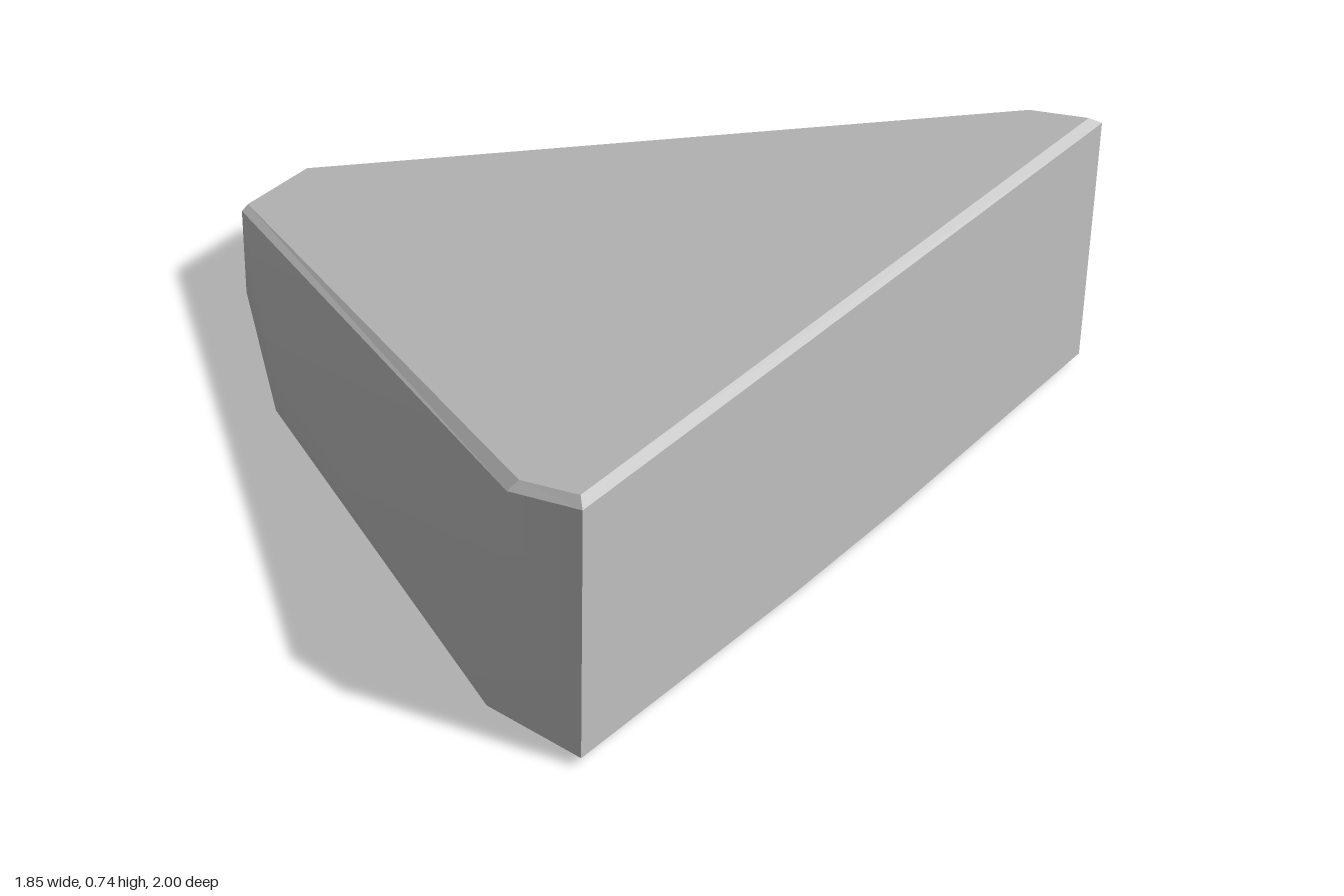
import * as THREE from 'three';

// Corner points of the +z half: T top face, A upper wall edge, M wall kink, B lower wall edge, C underside strip
const P = {
  T0: [-0.925, 0.265, 0.112], T1: [0.73, 0.691, 0.977], T2: [0.9, 0.735, 0.977],
  A0: [-0.925, 0.255, 0.135], A1: [0.715, 0.667, 1], A2: [0.925, 0.72, 1],
  M: [-0.485, 0.14, 0.487],
  B0: [-0.925, 0, 0.135], B1: [-0.485, 0.022, 0.487], B2: [0.65, 0.027, 1], B3: [0.925, 0.027, 1],
  C1: [0.925, 0, 0.2],
};

// A trailing "-" means the mirrored point on the -z half
function point(name) {
  const [x, y, z] = P[name.replace('-', '')];
  return name.endsWith('-') ? [x, y, -z] : [x, y, z];
}

// Mirrored polygon, with its corner order reversed to keep it facing outward
const mirror = (poly) => poly.split(' ').map((n) => n + '-').reverse().join(' ');

function build(polygons, smooth) {
  const positions = [], index = [], shared = new Map();
  for (const poly of polygons) {
    const ids = poly.split(' ').map((n) => {
      if (smooth && shared.has(n)) return shared.get(n);
      const id = positions.length / 3;
      positions.push(...point(n));
      shared.set(n, id);
      return id;
    });
    for (let i = 1; i < ids.length - 1; i++) index.push(ids[0], ids[i], ids[i + 1]);
  }
  let geo = new THREE.BufferGeometry();
  geo.setAttribute('position', new THREE.Float32BufferAttribute(positions, 3));
  geo.setIndex(index);
  if (!smooth) geo = geo.toNonIndexed();
  geo.computeVertexNormals();
  return geo;
}

export function createModel() {
  const group = new THREE.Group();
  group.name = 'wedgeBlock';
  const grey = new THREE.MeshStandardMaterial({ color: 0xc0c0c0 });
  grey.name = 'light grey';

  const add = (name, polygons, smooth = false) => {
    const mesh = new THREE.Mesh(build(polygons, smooth), grey);
    mesh.name = name;
    group.add(mesh);
  };

  // Softly shaded side walls
  const wall = ['A0 B0 B1 M', 'A0 M A1', 'M B1 B2', 'M B2 A1', 'A1 B2 B3 A2'];
  add('frontWall', wall, true);
  add('backWall', wall.map(mirror), true);

  // Narrow chamfer around the sloping top
  const chamfer = ['T0 A0 A1 T1', 'T1 A1 A2 T2'];
  add('topChamfer', [...chamfer, ...chamfer.map(mirror), 'T2 A2 A2- T2-']);

  // Sloping top and the two end faces
  add('slopingTop', ['T0 T1 T2 T2- T1- T0-']);
  add('wideEnd', ['A2 B3 C1 C1- B3- A2-']);
  add('narrowEnd', ['T0 T0- A0- B0- B0 A0']);

  // Underside: flat centre strip with gently rising wings
  const wing = ['B0 C1 B3', 'B0 B3 B2', 'B0 B2 B1'];
  add('underside', ['B0- C1- C1 B0', ...wing, ...wing.map(mirror)]);

  return group;
}
